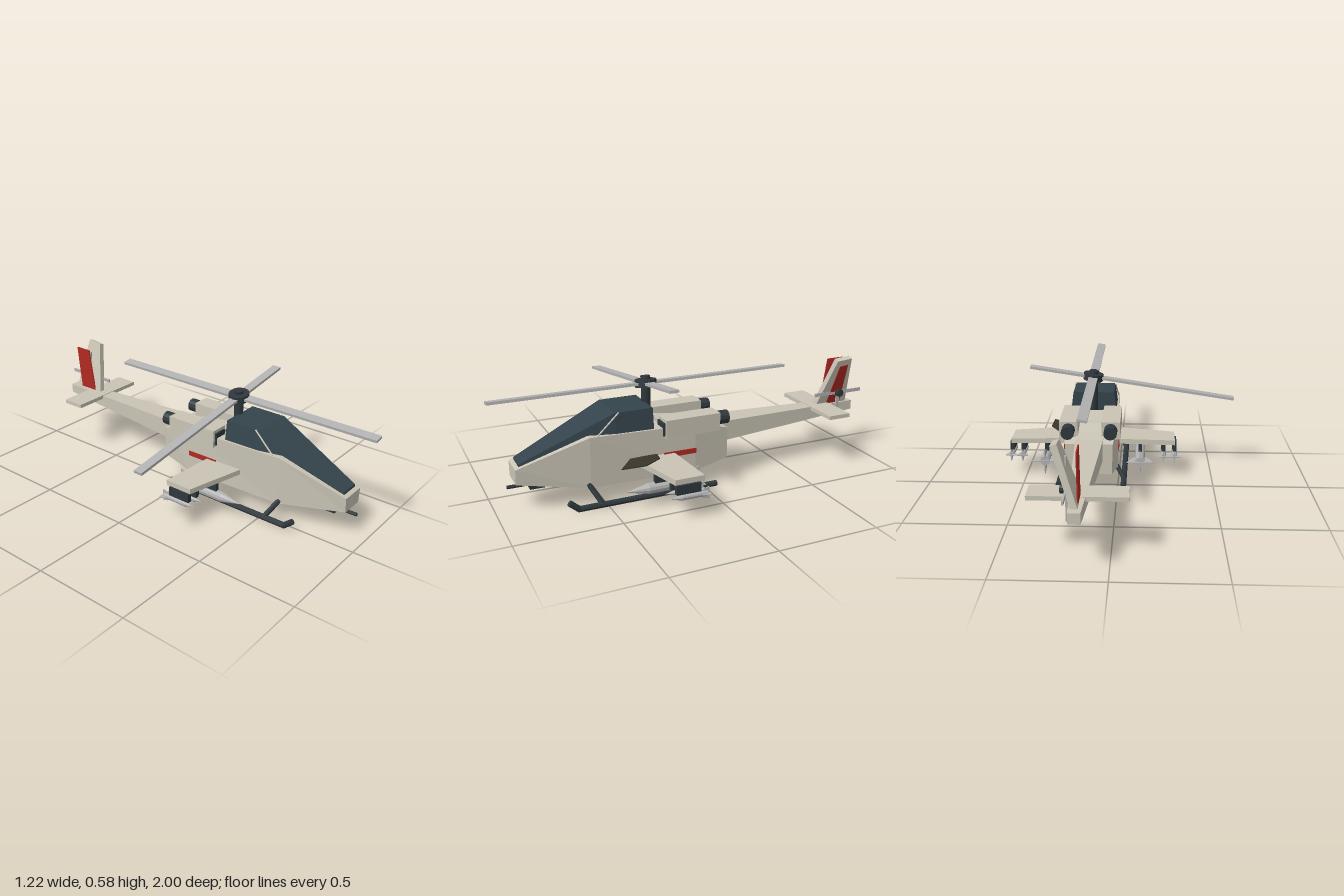
import * as THREE from 'three';

const CX = 0.14; // fuselage centre line
const mat = (color) => new THREE.MeshStandardMaterial({ color, flatShading: true, side: THREE.DoubleSide });
const BEIGE = mat(0xc9c4b5), DARK = mat(0x2f383d), GLASS = mat(0x34444c);
const GREY = mat(0xb2b2b2), RED = mat(0xb02a22), BROWN = mat(0x3a342c);

export function createModel() {
  const model = new THREE.Group();

  const add = (name, geo, material, x = 0, y = 0, z = 0, parent = model) => {
    const mesh = new THREE.Mesh(geo, material);
    mesh.name = name;
    mesh.position.set(x, y, z);
    parent.add(mesh);
    return mesh;
  };
  const box = (name, m, w, h, d, x, y, z, parent) => add(name, new THREE.BoxGeometry(w, h, d), m, x, y, z, parent);
  // Cylinder along z, with its first radius at the front
  const rod = (name, m, r1, r2, len, x, y, z, parent, sides = 12) =>
    add(name, new THREE.CylinderGeometry(r1, r2, len, sides).rotateX(Math.PI / 2), m, x, y, z, parent);
  // Cylinder between two points
  const bar = (name, m, r, a, b) => {
    const p = new THREE.Vector3(...a), q = new THREE.Vector3(...b);
    const mesh = add(name, new THREE.CylinderGeometry(r, r, p.distanceTo(q), 8), m);
    mesh.position.copy(p).lerp(q, 0.5);
    mesh.quaternion.setFromUnitVectors(new THREE.Vector3(0, 1, 0), q.sub(p).normalize());
    return mesh;
  };
  // Flat panel from an outline, centred on its thickness
  const slab = (pts, t) => {
    const shape = new THREE.Shape(pts.map((p) => new THREE.Vector2(...p)));
    return new THREE.ExtrudeGeometry(shape, { depth: t, bevelEnabled: false }).translate(0, 0, -t / 2);
  };
  const upright = (pts, t) => slab(pts, t).rotateY(-Math.PI / 2); // outline in (z, y)
  const level = (pts, t) => slab(pts, t).rotateX(Math.PI / 2); // outline in (x, z)

  // Loft through four-sided sections [z, yBottom, halfBottom, yTop, halfTop], back to front
  const loft = (sections) => {
    const rings = sections.map(([z, yb, wb, yt, wt]) => [[-wb, yb, z], [wb, yb, z], [wt, yt, z], [-wt, yt, z]]);
    const pos = [];
    const quad = (a, b, c, d) => pos.push(...a, ...b, ...c, ...a, ...c, ...d);
    for (let i = 0; i < rings.length - 1; i++) {
      for (let j = 0; j < 4; j++) {
        const k = (j + 1) % 4;
        quad(rings[i][j], rings[i][k], rings[i + 1][k], rings[i + 1][j]);
      }
    }
    quad(...rings[rings.length - 1]);
    quad(...[...rings[0]].reverse());
    const geo = new THREE.BufferGeometry();
    geo.setAttribute('position', new THREE.Float32BufferAttribute(pos, 3));
    geo.computeVertexNormals();
    return geo;
  };

  // Fuselage, canopy and tail boom
  add('fuselage', loft([
    [-0.145, 0.12, 0.115, 0.28, 0.12], [0.04, 0.09, 0.14, 0.33, 0.14],
    [0.57, 0.09, 0.125, 0.34, 0.13], [0.905, 0.14, 0.062, 0.215, 0.068],
  ]), BEIGE, CX);
  add('canopy', loft([
    [0.25, 0.32, 0.125, 0.435, 0.11], [0.44, 0.32, 0.125, 0.435, 0.11], [0.885, 0.2, 0.055, 0.235, 0.05],
  ]), GLASS, CX);
  add('tailBoom', loft([
    [-0.955, 0.235, 0.027, 0.285, 0.027], [-0.68, 0.22, 0.042, 0.287, 0.042],
    [-0.12, 0.19, 0.07, 0.295, 0.07], [0.2, 0.2, 0.075, 0.35, 0.075],
  ]), BEIGE, CX);
  for (const s of [-1, 1]) {
    bar('canopyFrame', BEIGE, 0.004, [CX + s * 0.124, 0.34, 0.53], [CX + s * 0.111, 0.436, 0.42]);
  }

  // Chin gun
  box('gunMount', DARK, 0.065, 0.045, 0.07, CX, 0.115, 0.8);
  rod('gunBarrel', DARK, 0.009, 0.009, 0.12, CX, 0.11, 0.875, model, 8);

  // Engines, exhausts, stripes and skids on both sides
  for (const s of [-1, 1]) {
    const ex = CX + s * 0.107;
    box('engine', BEIGE, 0.095, 0.09, 0.285, ex, 0.33, 0.058);
    box('engineIntake', DARK, 0.07, 0.065, 0.012, ex, 0.327, 0.204);
    rod('exhaust', DARK, 0.034, 0.034, 0.07, ex, 0.335, -0.11);
    box('sideStripe', RED, 0.006, 0.025, 0.17, CX + s * 0.141, 0.197, 0.122);

    const sx = CX + s * 0.17;
    bar('skid', DARK, 0.015, [sx, 0.017, -0.06], [sx, 0.017, 0.65]);
    bar('skidTip', DARK, 0.015, [sx, 0.017, 0.645], [sx, 0.055, 0.69]);
    bar('frontStrut', DARK, 0.013, [CX + s * 0.115, 0.11, 0.58], [sx, 0.02, 0.53]);
    bar('rearStrut', DARK, 0.013, [CX + s * 0.115, 0.11, 0.08], [sx, 0.02, 0.05]);
  }
  add('sidePlate', level([[0.27, 0.24], [0.33, 0.25], [0.385, 0.34], [0.38, 0.46], [0.28, 0.38]], 0.005), BROWN, 0, 0.208, 0);

  // Missile with pointed nose and four crossed tail fins
  const missile = (name, r, len, span, finLen, x, y, z) => {
    const g = new THREE.Group();
    g.name = name;
    g.position.set(x, y, z);
    model.add(g);
    const nose = len * 0.3;
    rod('missileBody', GREY, r, r, len - nose, 0, 0, -nose / 2, g);
    rod('missileNose', GREY, 0, r, nose, 0, 0, len / 2 - nose / 2, g);
    const back = -len / 2;
    const fin = [[back - 0.01, 0], [back - 0.01, span], [back + finLen * 0.4, span * 0.75], [back + finLen, 0]];
    for (let i = 0; i < 4; i++) {
      add('missileFin', upright(fin, 0.005), GREY, 0, 0, 0, g).rotation.z = i * Math.PI / 2;
    }
  };

  // Stub wings with pylons and missiles
  for (const s of [-1, 1]) {
    add('wing', level([[s * 0.1, 0.155], [s * 0.1, 0.36], [s * 0.44, 0.282], [s * 0.44, 0.138]], 0.027), BEIGE, CX, 0.19, 0);
    box('innerPylon', DARK, 0.02, 0.06, 0.13, CX + s * 0.254, 0.147, 0.24);
    missile('largeMissile', 0.026, 0.36, 0.07, 0.1, CX + s * 0.254, 0.097, 0.265);
    for (const d of [0.38, 0.44]) {
      box('outerPylon', DARK, 0.022, 0.045, 0.12, CX + s * d, 0.155, 0.22);
      missile('smallMissile', 0.014, 0.18, 0.03, 0.05, CX + s * d, 0.115, 0.215);
    }
  }

  // Tail plane and leaning fin, with one upright red panel beside it
  box('tailPlane', BEIGE, 0.437, 0.02, 0.122, CX, 0.28, -0.744);
  const fin = new THREE.Group();
  fin.name = 'tailFin';
  fin.position.set(CX, 0.275, 0);
  fin.rotation.z = -0.3;
  model.add(fin);
  add('finBlade', upright([[-0.73, 0], [-0.8, 0.278], [-0.885, 0.286], [-0.92, 0]], 0.03), BEIGE, 0, 0, 0, fin);
  add('finPanel', upright([[-0.795, 0.015], [-0.822, 0.245], [-0.87, 0.25], [-0.878, 0.015]], 0.006), RED, 0.015, 0, 0, fin);
  add('uprightPanel', upright([[-0.775, 0.29], [-0.81, 0.525], [-0.905, 0.525], [-0.88, 0.29]], 0.006), RED, 0.13, 0, 0);

  // Tail rotor
  rod('tailRotorHub', DARK, 0.02, 0.02, 0.04, 0.185, 0.347, -0.853).rotation.y = Math.PI / 2;
  box('tailRotorBlade', GREY, 0.008, 0.018, 0.29, 0.179, 0.347, -0.853);
  box('tailRotorBlade', GREY, 0.008, 0.29, 0.018, 0.179, 0.347, -0.853);

  // Mast and tilted main rotor; the cross blade is offset to the right
  add('mast', new THREE.CylinderGeometry(0.023, 0.023, 0.18, 12), DARK, CX, 0.42, 0.24);
  const rotor = new THREE.Group();
  rotor.name = 'mainRotor';
  rotor.position.set(CX, 0.526, 0.24);
  rotor.rotation.z = 0.15;
  model.add(rotor);
  add('rotorHub', new THREE.CylinderGeometry(0.053, 0.053, 0.036, 12), DARK, 0, 0, 0, rotor);
  add('hubCap', new THREE.CylinderGeometry(0.024, 0.024, 0.06, 12), DARK, 0, 0.005, 0, rotor);
  box('longBlade', GREY, 0.048, 0.013, 1.52, 0, 0, 0, rotor);
  box('crossBlade', GREY, 1.1, 0.013, 0.046, -0.21, 0, 0, rotor);

  return model;
}
